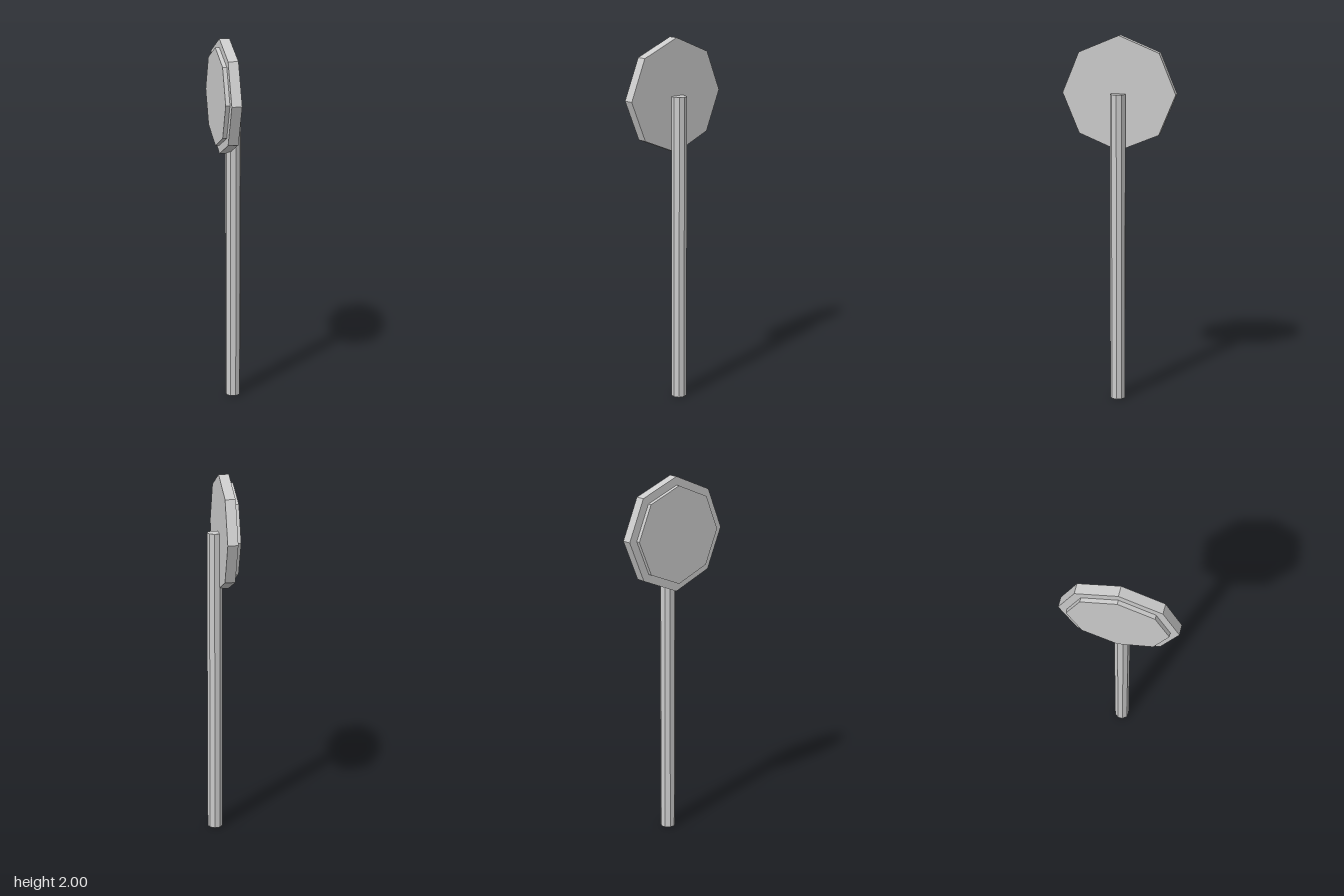
import * as THREE from 'three';

const material = new THREE.MeshStandardMaterial({ color: 0xcccccc, flatShading: true });
const HUB_Y = 1.695;

// Octagonal plate facing along x, with a corner pointing up
function plate(name, radius, x0, x1) {
  const geometry = new THREE.CylinderGeometry(radius, radius, x1 - x0, 8);
  geometry.rotateZ(Math.PI / 2);
  const mesh = new THREE.Mesh(geometry, material);
  mesh.name = name;
  mesh.position.set((x0 + x1) / 2, HUB_Y, 0);
  return mesh;
}

export function createModel() {
  const model = new THREE.Group();
  model.name = 'signPost';

  // Nine-sided pole, one corner towards +x, ending at the plate's centre
  const poleGeometry = new THREE.CylinderGeometry(0.0425, 0.0425, HUB_Y, 9);
  poleGeometry.rotateY(Math.PI / 2);
  const pole = new THREE.Mesh(poleGeometry, material);
  pole.name = 'pole';
  pole.position.set(0.026, HUB_Y / 2, 0);

  // Thick backing plate and the smaller raised face on its -x side
  model.add(
    pole,
    plate('backingPlate', 0.306, -0.048, 0.006),
    plate('signFace', 0.261, -0.07, -0.048),
  );
  return model;
}
